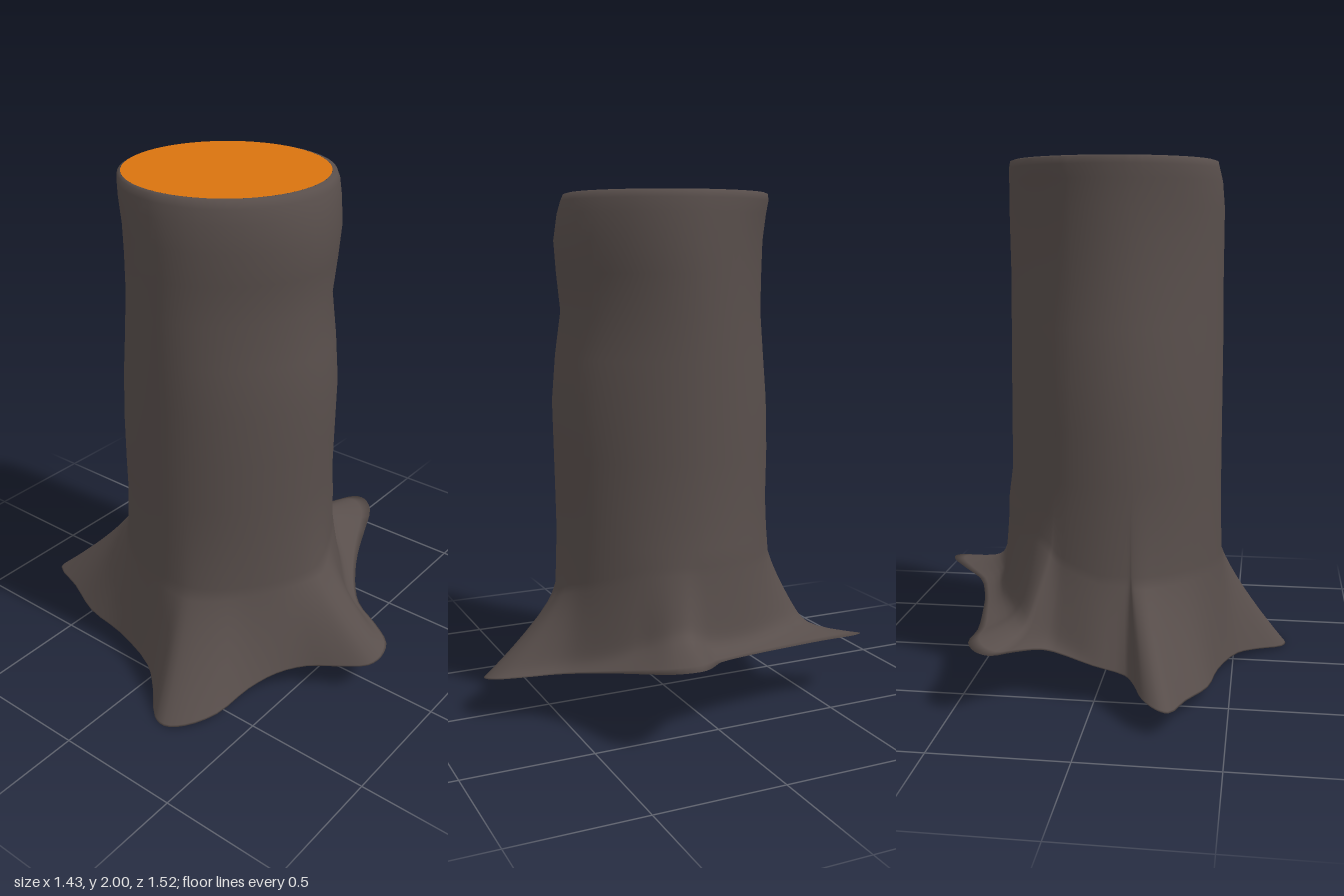
import * as THREE from 'three';

const bark = new THREE.MeshStandardMaterial({ color: 0x584e4b });
bark.name = 'bark';
const cutWood = new THREE.MeshStandardMaterial({ color: 0xd9730f });
cutWood.name = 'cutWood';

// Root outline seen from above (x, z), from the front root round by the left
const OUTLINE = [
  [0, .76], [.07, .74], [.13, .65], [.19, .53], [.28, .45], [.42, .37], [.55, .32], [.67, .27],
  [.715, .21], [.71, .16], [.64, .09], [.56, .02], [.5, -.15], [.47, -.3], [.44, -.5], [.44, -.64],
  [.4, -.7], [.35, -.7], [.28, -.61], [.2, -.52], [.15, -.505], [0, -.53], [-.12, -.54], [-.16, -.6],
  [-.2, -.7], [-.26, -.76], [-.3, -.76], [-.35, -.62], [-.42, -.45], [-.45, -.25], [-.52, -.03], [-.6, .07],
  [-.7, .17], [-.715, .23], [-.67, .3], [-.56, .37], [-.4, .4], [-.28, .45], [-.19, .53], [-.12, .65], [-.06, .74],
];

// Trunk sections above the flare: height, centre x, centre z, radius x, radius z, diagonal pinch
const SECTIONS = [
  [.68, -.012, 0, .428, .43, .02], [.8, -.02, 0, .42, .43, .02], [1, -.02, 0, .42, .435, .025],
  [1.2, -.02, .005, .42, .435, .03], [1.38, -.02, .005, .42, .42, .04], [1.55, -.02, 0, .418, .4, .045],
  [1.7, -.018, .008, .42, .408, .04], [1.82, -.017, .012, .421, .412, .03], [1.92, -.015, 0, .415, .407, .01],
  [1.97, -.01, -.01, .408, .402, 0], [1.995, -.01, -.015, .402, .396, 0], [2, -.01, -.02, .385, .382, 0],
];

// Slanted ground line under the roots
const groundY = (x) => Math.max(0, .15 + .233 * x + .03 * x * x);

function onSection([y, cx, cz, rx, rz, pinch], angle) {
  const k = 1 - pinch * Math.sin(2 * angle) ** 2;
  return new THREE.Vector3(cx + k * rx * Math.sin(angle), y, cz + k * rz * Math.cos(angle));
}

function indexed(points, index) {
  const geometry = new THREE.BufferGeometry().setFromPoints(points);
  geometry.setIndex(index);
  geometry.computeVertexNormals();
  return geometry;
}

// Skin through closed loops of equal length, lowest first
function loft(rings) {
  const n = rings[0].length;
  const index = [];
  for (let j = 0; j < rings.length - 1; j++) {
    for (let i = 0; i < n; i++) {
      const k = (i + 1) % n;
      const a = j * n + i, b = j * n + k, c = b + n, d = a + n;
      index.push(a, b, c, a, c, d);
    }
  }
  return indexed(rings.flat(), index);
}

// Shares averaged normals along the rim, so the roots shade softly into the underside
function softenRim(skin, under, count) {
  const a = skin.attributes.normal, b = under.attributes.normal;
  const p = new THREE.Vector3(), q = new THREE.Vector3();
  for (let i = 0; i < count; i++) {
    p.fromBufferAttribute(a, i).add(q.fromBufferAttribute(b, i)).normalize();
    a.setXYZ(i, p.x, p.y, p.z);
    b.setXYZ(i, p.x, p.y, p.z);
  }
}

export function createModel() {
  const group = new THREE.Group();
  group.name = 'treeStump';
  const add = (name, geometry, material) => {
    const mesh = new THREE.Mesh(geometry, material);
    mesh.name = name;
    group.add(mesh);
  };

  const curve = new THREE.CatmullRomCurve3(
    OUTLINE.map(([x, z]) => new THREE.Vector3(x, 0, z)), true);
  const base = curve.getPoints(OUTLINE.length * 3).slice(0, -1);
  base.forEach((p) => { p.y = groundY(p.x); });
  const angles = base.map((p) => Math.atan2(p.x, p.z));

  // Roots slope straight into the trunk; those on the raised side end in a thin tip
  const rings = [];
  const steps = 16;
  for (let s = 0; s < steps; s++) {
    const t = (s / steps) ** 1.6;
    rings.push(base.map((p, i) => {
      const raised = Math.min(1, Math.max(0, 2 * p.x));
      const top = onSection(SECTIONS[0], angles[i]);
      const tip = .7 * raised;
      const flare = tip * (1 - t) ** 20 + (1 - tip) * (1 - t) ** 1.3;
      return new THREE.Vector3(
        THREE.MathUtils.lerp(top.x, p.x, flare),
        THREE.MathUtils.lerp(p.y, .5 + .15 * raised, t),
        THREE.MathUtils.lerp(top.z, p.z, flare));
    }));
  }
  for (const section of SECTIONS) rings.push(angles.map((a) => onSection(section, a)));
  const skin = loft(rings);

  // Underside, facing down
  const flat = base.map((p) => new THREE.Vector2(p.x, -p.z));
  const faces = THREE.ShapeUtils.triangulateShape(flat, []);
  const under = indexed(base, faces.flatMap(([a, b, c]) => [a, c, b]));
  softenRim(skin, under, base.length);
  add('trunkAndRoots', skin, bark);
  add('underside', under, bark);

  // Cut face on top
  const [y, cx, cz, rx, rz] = SECTIONS[SECTIONS.length - 1];
  const cut = new THREE.CircleGeometry(1, 64).rotateX(-Math.PI / 2).scale(rx, 1, rz).translate(cx, y, cz);
  add('cutFace', cut, cutWood);

  return group;
}
